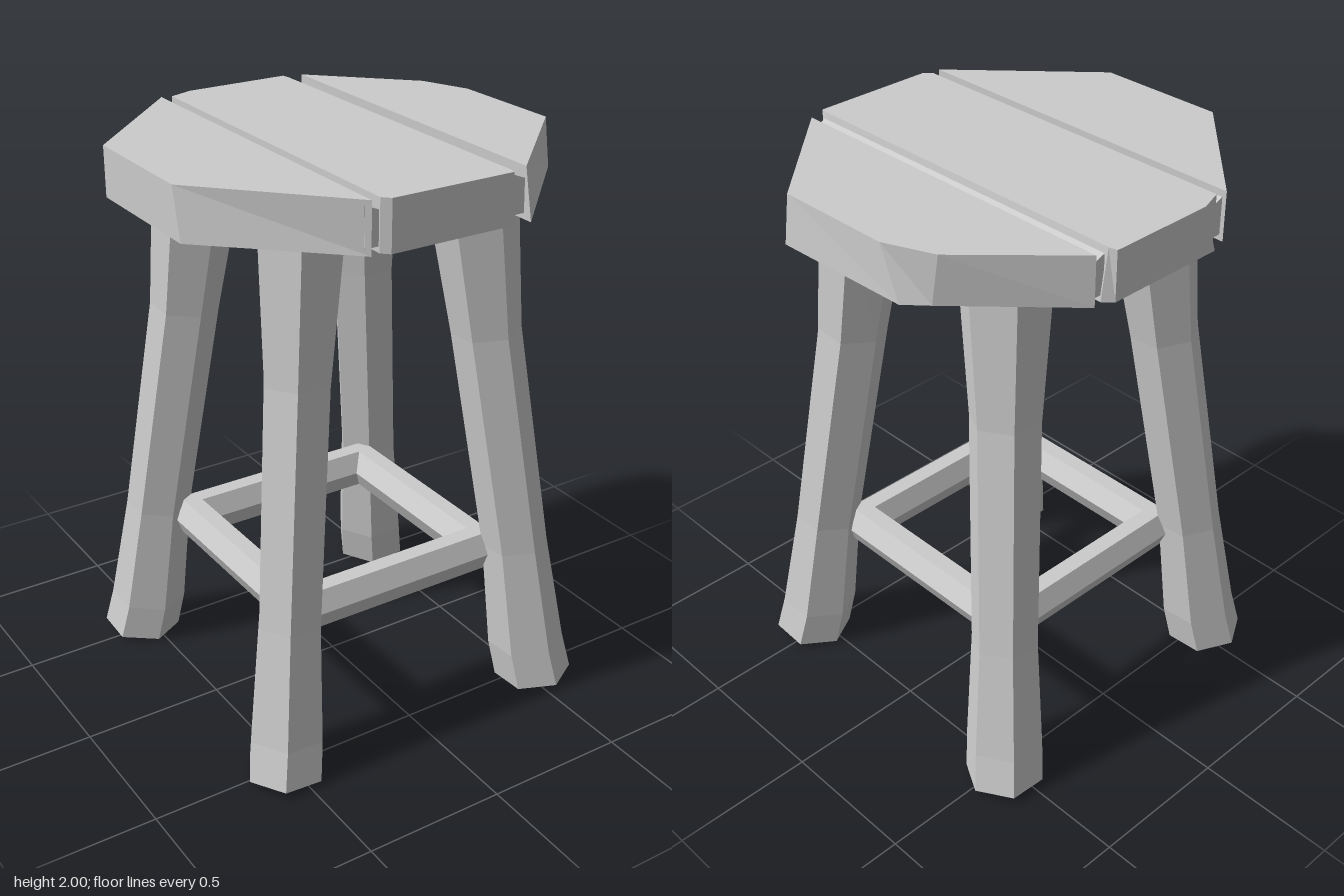
import * as THREE from 'three';

const material = new THREE.MeshStandardMaterial({ color: 0xcccccc, flatShading: true });

// Closed solid through equal-length rings of [x, y, z], listed bottom to top
function loft(rings) {
  const out = [];
  const n = rings[0].length;
  const tri = (a, b, c) => out.push(...a, ...b, ...c);
  for (let k = 0; k < rings.length - 1; k++) {
    for (let i = 0; i < n; i++) {
      const j = (i + 1) % n;
      const a = rings[k], b = rings[k + 1];
      tri(a[i], b[i], b[j]);
      tri(a[i], b[j], a[j]);
    }
  }
  const low = rings[0], high = rings[rings.length - 1];
  for (let i = 1; i < n - 1; i++) {
    tri(low[0], low[i], low[i + 1]);
    tri(high[0], high[i + 1], high[i]);
  }
  const geometry = new THREE.BufferGeometry();
  geometry.setAttribute('position', new THREE.Float32BufferAttribute(out, 3));
  geometry.computeVertexNormals();
  return geometry;
}

function add(parent, name, geometry) {
  const mesh = new THREE.Mesh(geometry, material);
  mesh.name = name;
  parent.add(mesh);
  return mesh;
}

const atHeight = (outline, y) => outline.map(([x, z]) => [x, y, z]);

function plank(parent, name, bottom, top = bottom) {
  add(parent, name, loft([atHeight(bottom, 1.83), atHeight(top, 2)]));
}

export function createModel() {
  const stool = new THREE.Group();
  stool.name = 'stool';

  // Seat: three hand-cut planks, slightly uneven at the rim
  const seat = new THREE.Group();
  seat.name = 'seat';
  stool.add(seat);
  plank(seat, 'middlePlank', [
    [-0.245, -0.64], [-0.22, -0.67], [0.22, -0.67], [0.25, -0.64],
    [0.25, 0.63], [0.22, 0.655], [-0.22, 0.655], [-0.245, 0.63],
  ], [
    [-0.245, -0.64], [-0.16, -0.67], [0.22, -0.67], [0.225, -0.64],
    [0.225, 0.63], [0.22, 0.655], [-0.22, 0.655], [-0.245, 0.63],
  ]);
  plank(seat, 'rightPlank',
    [[-0.28, -0.65], [-0.28, 0.64], [-0.69, 0.25], [-0.69, -0.25]],
    [[-0.28, -0.65], [-0.28, 0.64], [-0.69, 0.21], [-0.69, -0.25]]);
  plank(seat, 'leftPlank',
    [[0.285, -0.65], [0.61, -0.32], [0.675, -0.25], [0.69, 0.26], [0.29, 0.66]],
    [[0.285, -0.65], [0.6, -0.34], [0.67, -0.17], [0.675, 0.25], [0.285, 0.63]]);

  // Sunken joints between the planks, with sloping tops
  for (const side of [-1, 1]) {
    const outline = [[-0.03, -0.635], [0.03, -0.635], [0.03, 0.625], [-0.03, 0.625]]
      .map(([x, z]) => [x + side * 0.265, z]);
    const top = outline.map(([x, z]) => [x, 1.97 - 0.4 * (x - side * 0.265), z]);
    add(seat, 'plankJoint', loft([atHeight(outline, 1.85), top]));
  }

  // Legs: bent hexagonal posts, splayed along the diagonals [y, centre, radius]
  const stations = [
    [0.015, 0.53, 0.137], [0.15, 0.507, 0.134], [0.55, 0.465, 0.114],
    [1.35, 0.37, 0.118], [1.85, 0.322, 0.152],
  ];
  const legGeometry = loft(stations.map(([y, centre, radius]) =>
    Array.from({ length: 6 }, (_, i) => {
      const angle = Math.PI / 6 + i * Math.PI / 3;
      const dx = radius * Math.cos(angle), dz = radius * Math.sin(angle);
      const tilt = y < 1.8 ? 0.07 * (dx + dz) : 0;
      return [centre + dx, y + tilt, centre + dz];
    })));
  for (let i = 0; i < 4; i++) {
    add(stool, 'leg', legGeometry).rotation.y = i * Math.PI / 2;
  }

  // Footrest: square ring of mitred hexagonal rails
  const profile = [
    [0.345, 0.437], [0.405, 0.437], [0.44, 0.51], [0.405, 0.58],
    [0.345, 0.58], [0.31, 0.51], [0.345, 0.437],
  ].map(([r, y]) => new THREE.Vector2(r * Math.SQRT2, y));
  add(stool, 'footrestRails', new THREE.LatheGeometry(profile, 4)).rotation.y = Math.PI / 4;

  return stool;
}
